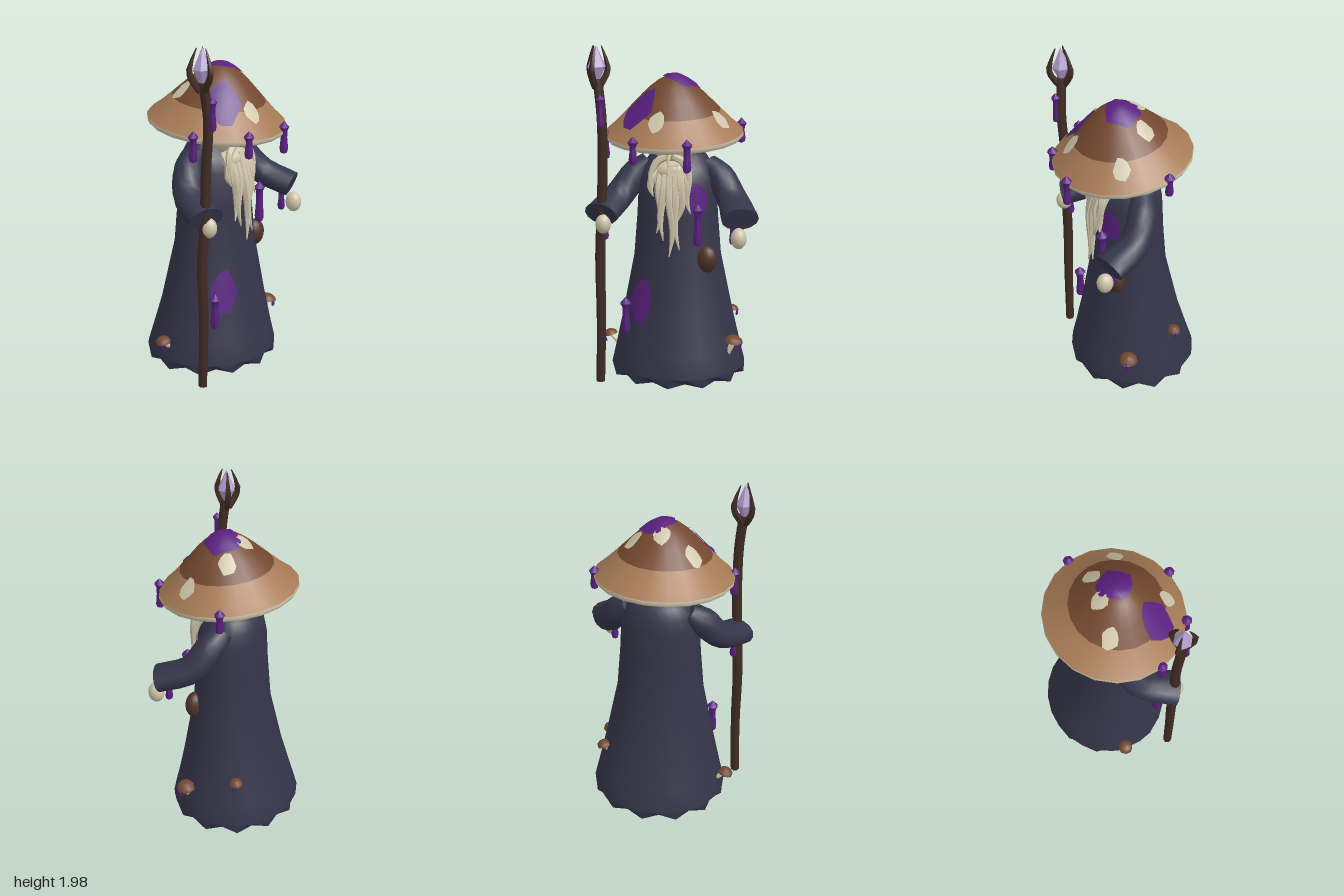
import * as THREE from 'three';
import { toCreasedNormals } from 'three/addons/utils/BufferGeometryUtils.js';

const V = (p) => new THREE.Vector3(...p);
const lerp = THREE.MathUtils.lerp;

function makeMaterial(name, color) {
  const m = new THREE.MeshStandardMaterial({ color });
  m.name = name;
  return m;
}

// Indexed geometry with optional sharp edges
function meshGeometry(pos, idx, crease) {
  const g = new THREE.BufferGeometry();
  g.setAttribute('position', new THREE.Float32BufferAttribute(pos, 3));
  g.setIndex(idx);
  g.computeVertexNormals();
  return crease ? toCreasedNormals(g, crease) : g;
}

// Joins rings of n points, each running counter-clockwise about the travel direction
function skin(rings, crease) {
  const n = rings[0].length, last = rings.length - 1, idx = [];
  const pos = rings.flat().flatMap((p) => p.toArray());
  for (let i = 0; i < last; i++) for (let j = 0; j < n; j++) {
    const a = i * n + j, b = i * n + (j + 1) % n;
    idx.push(a, b, a + n, b, b + n, a + n);
  }
  [0, last].forEach((r) => {
    const c = pos.length / 3;
    const mid = rings[r].reduce((s, p) => s.add(p), new THREE.Vector3()).divideScalar(n);
    pos.push(...mid.toArray());
    for (let j = 0; j < n; j++) {
      const a = r * n + j, b = r * n + (j + 1) % n;
      idx.push(...(r ? [a, b, c] : [b, a, c]));
    }
  });
  return meshGeometry(pos, idx, crease);
}

// Tapered tube through points; each radius is [sideways, upwards]
function loft(points, radii, sides, steps, ref, crease = 0.9) {
  const curve = new THREE.CatmullRomCurve3(points.map(V));
  const rings = [];
  for (let i = 0; i <= steps; i++) {
    const t = i / steps, f = t * (radii.length - 1), k = Math.min(Math.floor(f), radii.length - 2);
    const [r1, r2] = [0, 1].map((q) => lerp(radii[k][q], radii[k + 1][q], f - k));
    const d = curve.getTangent(t), s = ref.clone().cross(d).normalize(), u = d.clone().cross(s);
    const c = curve.getPoint(t);
    rings.push(Array.from({ length: sides }, (_, j) => {
      const a = j / sides * Math.PI * 2;
      return c.clone().addScaledVector(s, r1 * Math.cos(a)).addScaledVector(u, r2 * Math.sin(a));
    }));
  }
  return skin(rings, crease);
}

// Irregular blot laid on a surface given by map(u, v)
function blot(map, u0, v0, du, dv, seed) {
  const n = 10, rows = 4, pos = map(u0, v0).slice(), idx = [];
  for (let i = 1; i <= rows; i++) for (let j = 0; j < n; j++) {
    const a = j / n * Math.PI * 2, r = i / rows * (1 + 0.1 * Math.sin(j * 2.3 + seed));
    pos.push(...map(u0 + du * r * Math.cos(a), v0 + dv * r * Math.sin(a)));
    const p = 1 + (i - 1) * n + j, q = 1 + (i - 1) * n + (j + 1) % n;
    if (i === 1) idx.push(0, p, q);
    else idx.push(p - n, p, q, p - n, q, q - n);
  }
  return meshGeometry(pos, idx);
}

// Robe cross-sections: height, half width, half depth, centre z
const ROBE = [[0.08, 0.4, 0.375, -0.045], [0.2, 0.372, 0.342, -0.04], [0.4, 0.328, 0.29, -0.03],
  [0.75, 0.258, 0.22, -0.02], [1.0, 0.238, 0.2, -0.02], [1.2, 0.228, 0.19, -0.02],
  [1.28, 0.205, 0.165, -0.03], [1.34, 0.165, 0.12, -0.045], [1.39, 0.1, 0.07, -0.045]];
function robePoint(a, y, off = 0) {
  let k = 0;
  while (k < ROBE.length - 2 && y > ROBE[k + 1][0]) k++;
  const A = ROBE[k], B = ROBE[k + 1], t = (y - A[0]) / (B[0] - A[0]);
  const [, rx, rz, cz] = A.map((v, i) => lerp(v, B[i], t));
  return [(rx + off) * Math.sin(a), y, cz + (rz + off) * Math.cos(a)];
}

// Hat top profile: radius, height
const HAT = [[0.4, 0], [0.34, 0.052], [0.268, 0.125], [0.18, 0.217], [0.13, 0.264], [0.085, 0.298], [0.04, 0.322], [0, 0.328]];
function hatHeight(r) {
  let k = 0;
  while (k < HAT.length - 2 && r < HAT[k + 1][0]) k++;
  const t = (r - HAT[k][0]) / (HAT[k + 1][0] - HAT[k][0]);
  return lerp(HAT[k][1], HAT[k + 1][1], t);
}

export function createModel() {
  const model = new THREE.Group();
  const robeMat = makeMaterial('robe cloth', 0x35354a);
  const tan = makeMaterial('hat tan', 0xa67a55);
  const brown = makeMaterial('cap brown', 0x73482f);
  const cream = makeMaterial('cream', 0xcfc5aa);
  const purple = makeMaterial('purple slime', 0x5a2080);
  const wood = makeMaterial('dark wood', 0x402c24);
  const leather = makeMaterial('pouch leather', 0x4e3328);
  const crystalMat = makeMaterial('crystal', 0xb3a0d0);
  const Y = new THREE.Vector3(0, 1, 0), Z = new THREE.Vector3(0, 0, 1);

  function add(name, geo, mat, p = [0, 0, 0], s = [1, 1, 1], parent = model) {
    const m = new THREE.Mesh(geo, mat);
    m.name = name;
    m.position.set(...p);
    m.scale.set(...s);
    parent.add(m);
    return m;
  }
  const lathe = (pts, n) => new THREE.LatheGeometry(pts.map((p) => new THREE.Vector2(...p)), n);
  const ball = new THREE.SphereGeometry(1, 16, 12);

  // Slime drip with pointed top and rounded bottom
  function drip(x, y0, y1, z, r = 0.031, parent = model) {
    const h = y1 - y0;
    const g = lathe([[0, 0], [r * 0.65, r * 0.3], [r * 0.8, r], [r * 0.6, h * 0.5],
      [r * 0.65, h - r * 1.7], [r, h - r * 1.1], [0, h]], 7);
    add('slimeDrip', toCreasedNormals(g, 0.7), purple, [x, y0, z], [1, 1, 1], parent);
  }

  // Robe with jagged hem
  const N = 24, ang = (j) => j / N * Math.PI * 2;
  const ring = (fn) => Array.from({ length: N }, (_, j) => V(fn(ang(j), j)));
  const hem = ring((a, j) => {
    const k = j % 2 ? 0.91 : 0.99;
    return [0.4 * k * Math.sin(a), j % 2 ? 0.045 : 0.025, -0.045 + 0.375 * k * Math.cos(a)];
  });
  add('robe', skin([hem, ...ROBE.map((r) => ring((a) => robePoint(a, r[0])))], 0.8), robeMat);
  const onRobe = (a, y) => robePoint(a, y, 0.009);
  add('chestSlime', blot(onRobe, 0.62, 1.11, 0.3, 0.095, 1), purple);
  add('skirtSlime', blot(onRobe, -0.62, 0.51, 0.27, 0.125, 3), purple);
  drip(0.15, 0.85, 1.1, 0.195, 0.034);
  drip(-0.27, 0.31, 0.53, 0.2, 0.034);

  // Sleeves and hands
  for (const s of [-1, 1]) {
    add('sleeve', loft([[0.17 * s, 1.29, -0.04], [0.25 * s, 1.22, -0.01], [0.335 * s, 1.1, 0.07], [0.4 * s, 1.03, 0.245]],
      [[0.07, 0.06], [0.085, 0.085], [0.09, 0.08], [0.108, 0.07]], 14, 10, Y), robeMat);
  }
  add('leftHand', ball, cream, [0.395, 0.925, 0.265], [0.045, 0.06, 0.048]);
  add('rightHand', ball, cream, [-0.385, 0.975, 0.25], [0.045, 0.058, 0.048]);
  drip(0.355, 0.87, 1.03, 0.205, 0.028);
  drip(-0.385, 0.87, 1.0, 0.21, 0.028);

  // Belt pouch
  add('pouch', ball, leather, [0.195, 0.76, 0.128], [0.062, 0.08, 0.052]);

  // Head, nose and beard
  add('head', ball, cream, [-0.01, 1.4, 0.05], [0.112, 0.115, 0.112]);
  add('nose', loft([[-0.012, 1.44, 0.14], [-0.012, 1.4, 0.205], [-0.012, 1.32, 0.24]],
    [[0.022, 0.022], [0.022, 0.022], [0.005, 0.005]], 6, 6, new THREE.Vector3(1, 0, 0)), cream);
  add('beardRoot', ball, cream, [-0.01, 1.27, 0.13], [0.105, 0.06, 0.06]);
  const strands = [[-0.11, -0.105, 1.13], [-0.075, -0.085, 0.92], [-0.045, -0.045, 0.88], [-0.01, -0.008, 0.79],
    [0.025, 0.05, 0.83], [0.055, 0.03, 0.98], [0.09, 0.11, 1.04]];
  strands.forEach(([x0, x1, y], i) => {
    const w = i % 2 ? 0.02 : -0.018, z = 0.2 - Math.abs(x0) * 0.4;
    add('beardStrand', loft([[x0 * 0.8, 1.31, z - 0.04], [x0, lerp(1.31, y, 0.35), z + 0.015],
      [lerp(x0, x1, 0.6) + w, lerp(1.31, y, 0.72), z + 0.02], [x1, y, z + 0.03]],
      [[0.026, 0.026], [0.025, 0.025], [0.018, 0.018], [0.003, 0.003]], 6, 9, Z), cream);
  });
  for (const s of [-1, 1]) {
    add('moustache', loft([[-0.01 + 0.015 * s, 1.36, 0.16], [-0.01 + 0.075 * s, 1.33, 0.165],
      [-0.01 + 0.11 * s, 1.25, 0.18], [-0.01 + 0.1 * s, 1.15, 0.2]],
      [[0.018, 0.018], [0.024, 0.024], [0.018, 0.018], [0.004, 0.004]], 6, 8, Z), cream);
  }

  // Mushroom hat, tipped forward
  const hat = new THREE.Group();
  hat.name = 'hat';
  hat.position.set(-0.015, 1.485, 0.01);
  hat.rotation.x = 0.108;
  model.add(hat);
  const hatPart = (name, geo, mat) => add(name, geo, mat, [0, 0, 0], [1, 1, 1], hat);
  hatPart('hatCrown', lathe(HAT.slice(2), 20), brown);
  hatPart('hatBrim', lathe(HAT.slice(0, 3), 20), tan);
  hatPart('hatLip', lathe([[0.392, -0.03], [0.402, -0.015], [0.4, 0]], 20), cream);
  hatPart('hatUnderside', lathe([[0.12, 0.03], [0.26, 0.005], [0.392, -0.03]], 20), cream);
  hatPart('hatHollow', lathe([[0, 0.1], [0.12, 0.03]], 20), brown);
  const onHat = (lift) => (x, v) => [x, hatHeight(Math.hypot(x, v)) + lift, -v];
  // Blots placed by seen x and z, corrected for the hat's tilt
  const hatBlot = (name, x, z, r, mat, lift, seed) => {
    const lx = x + 0.015, lz = z - 0.01 - 0.108 * hatHeight(Math.hypot(x, z));
    hatPart(name, blot(onHat(lift), lx, -lz, r, r, seed), mat);
  };
  [[-0.21, -0.09], [-0.025, -0.075], [0.145, -0.06], [0.27, 0.12], [-0.065, 0.295]].forEach(([x, z], i) =>
    hatBlot('hatSpot', x, z, 0.047, cream, 0.007, i));
  hatBlot('hatTopSlime', 0.03, 0.03, 0.1, purple, 0.0095, 2);
  hatBlot('hatSideSlime', -0.185, 0.188, 0.097, purple, 0.009, 5);
  [[-0.185, 1.345, 1.505, 0.37], [0.12, 1.31, 1.5, 0.385], [0.357, 1.4, 1.55, -0.125], [-0.39, 1.33, 1.51, 0.145]]
    .forEach(([x, y0, y1, z]) => drip(x, y0, y1, z));

  // Staff with clawed crystal
  add('staff', loft([[-0.418, 0.015, 0.23], [-0.408, 0.4, 0.232], [-0.412, 0.75, 0.225], [-0.4, 1.0, 0.235],
    [-0.388, 1.3, 0.235], [-0.386, 1.58, 0.25], [-0.41, 1.8, 0.235]],
    [[0.026, 0.026], [0.03, 0.03], [0.029, 0.029], [0.028, 0.028]], 7, 20, Z), wood);
  const crystal = lathe([[0, 1.76], [0.053, 1.87], [0, 1.99]], 6).toNonIndexed();
  crystal.computeVertexNormals();
  add('crystal', crystal, crystalMat, [-0.415, 0, 0.232]);
  for (const a of [0.15, 2.3, 4.1]) {
    const at = (r, y) => [-0.415 + r * Math.sin(-a), y, 0.232 + r * Math.cos(a)];
    add('claw', loft([at(0.012, 1.75), at(0.058, 1.82), at(0.068, 1.87), at(0.03, 1.985)],
      [[0.02, 0.02], [0.019, 0.019], [0.017, 0.017], [0.003, 0.003]], 5, 6, new THREE.Vector3(0.3, 0, 1)), wood);
  }
  drip(-0.387, 1.53, 1.72, 0.28, 0.026);

  // Little mushrooms growing on the robe
  for (const [x, y, z, s, tilt, turn] of [[0.315, 0.19, 0.11, 1, -0.5, 0], [0.275, 0.315, -0.185, 0.72, -0.6, 0.5],
    [-0.375, 0.165, -0.065, 0.8, 0.85, 0]]) {
    const g = new THREE.Group();
    g.name = 'mushroom';
    g.position.set(x, y, z);
    g.rotation.set(0, turn, tilt);
    g.scale.setScalar(s);
    model.add(g);
    add('mushroomStem', new THREE.CylinderGeometry(0.014, 0.02, 0.09, 8), cream, [0, 0.045, 0], [1, 1, 1], g);
    const top = new THREE.Group();
    top.name = 'mushroomCap';
    top.position.y = 0.08;
    top.rotation.z = -tilt * 0.7;
    g.add(top);
    add('capTop', lathe([[0.056, 0], [0.047, 0.022], [0.025, 0.036], [0, 0.04]], 10), brown, [0, 0, 0], [1, 1, 1], top);
    add('capGills', lathe([[0, 0.008], [0.056, 0]], 10), cream, [0, 0, 0], [1, 1, 1], top);
    drip(Math.sign(x) * 0.042, -0.045, 0.02, 0.02, 0.013, top);
  }
  return model;
}
